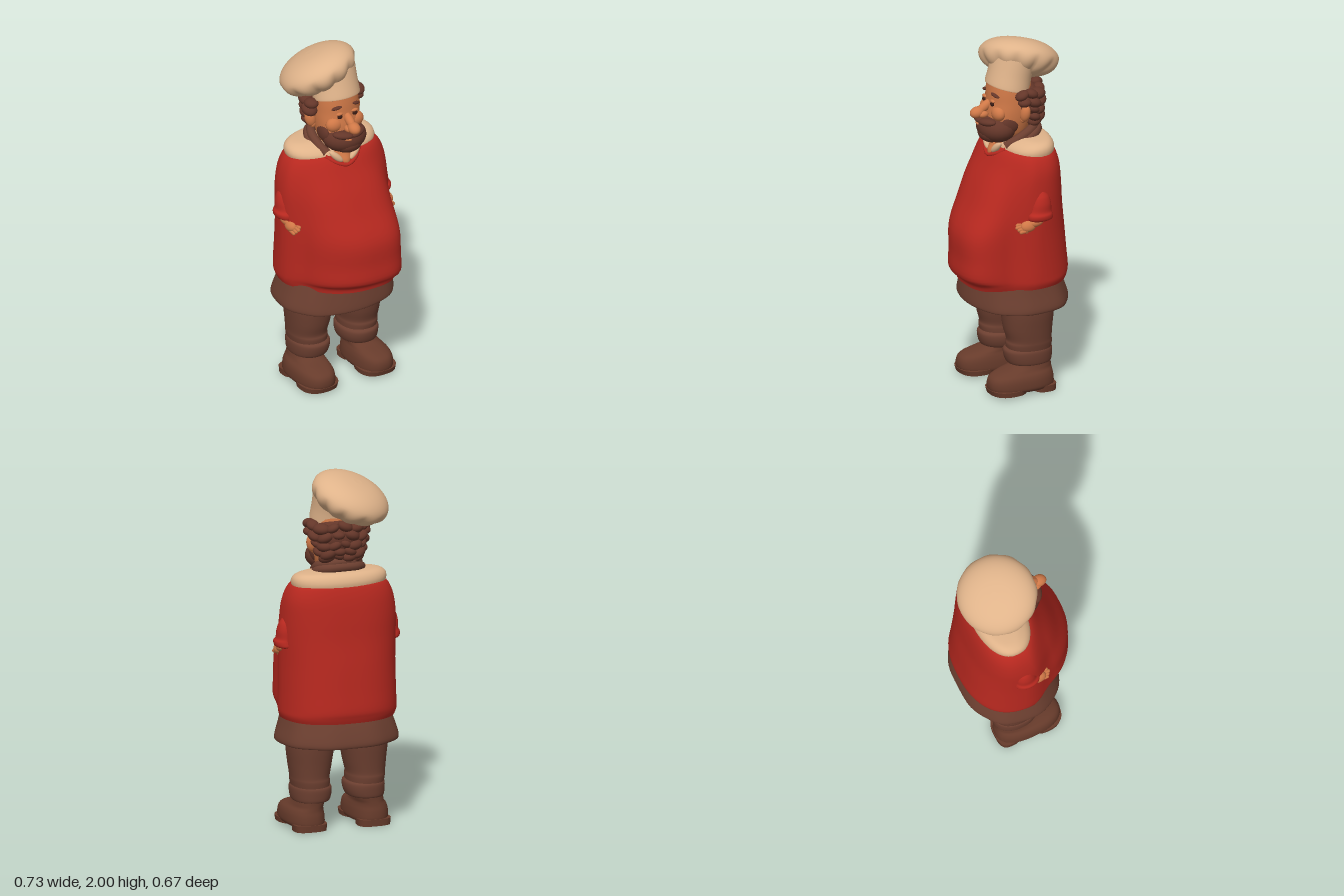
import * as THREE from 'three';

const mat = (name, color) => {
  const m = new THREE.MeshStandardMaterial({ color });
  m.name = name;
  return m;
};

export function createModel() {
  const red = mat('red jumper', 0xb7281f), cream = mat('cream cloth', 0xdfb38a);
  const brown = mat('brown cloth', 0x6c3f30), hairBrown = mat('hair brown', 0x643629);
  const skin = mat('skin', 0xcf7847), dark = mat('eye dark', 0x3a1c14);
  const leather = mat('boot leather', 0x673b2b);
  const root = new THREE.Group();
  root.name = 'cook';

  const add = (name, geo, material) => {
    const m = new THREE.Mesh(geo, material);
    m.name = name;
    root.add(m);
    return m;
  };

  // Smooth loft through rows [y, xMin, xMax, zBack, zFront, skew]; n = squareness
  const loft = (rows, { n = 2, seg = 40, sub = 4, side = 1, warp } = {}) => {
    const pos = [], idx = [], rings = [];
    const row = i => rows[Math.max(0, Math.min(rows.length - 1, i))];
    for (let i = 0; i < rows.length - 1; i++) {
      for (let k = 0; k < sub + (i === rows.length - 2 ? 1 : 0); k++) {
        const t = k / sub;
        rings.push([0, 1, 2, 3, 4, 5].map(c => {
          const [p, a, b, q] = [-1, 0, 1, 2].map(o => row(i + o)[c] || 0);
          const v0 = (b - p) / 2, v1 = (q - a) / 2;
          return (2 * a - 2 * b + v0 + v1) * t ** 3 + (-3 * a + 3 * b - 2 * v0 - v1) * t * t + v0 * t + a;
        }));
      }
    }
    const sup = v => Math.sign(v) * Math.abs(v) ** (2 / n);
    const ringPoints = r => {
      const [y, x0, x1, z0, z1, skew] = r, out = [];
      for (let j = 0; j < seg; j++) {
        const a = j / seg * Math.PI * 2, c = sup(Math.cos(a)), s = sup(Math.sin(a));
        const xa = side > 0 ? x0 : -x1, xb = side > 0 ? x1 : -x0;
        const p = new THREE.Vector3((xa + xb) / 2 + (xb - xa) / 2 * c + skew * Math.max(0, s) ** 2, y,
          (z0 + z1) / 2 + (z1 - z0) / 2 * s);
        if (warp) warp(p, a);
        out.push(p);
      }
      return out;
    };
    const all = rings.map(ringPoints);
    all.forEach(r => r.forEach(p => pos.push(p.x, p.y, p.z)));
    for (let i = 0; i < all.length - 1; i++) for (let j = 0; j < seg; j++) {
      const a = i * seg + j, b = i * seg + (j + 1) % seg, c = a + seg, d = b + seg;
      idx.push(a, c, b, b, c, d);
    }
    // End caps with their own vertices
    [[all[0], false], [all[all.length - 1], true]].forEach(([r, top]) => {
      const base = pos.length / 3, mid = new THREE.Vector3();
      r.forEach(p => { pos.push(p.x, p.y, p.z); mid.addScaledVector(p, 1 / seg); });
      pos.push(mid.x, mid.y, mid.z);
      for (let j = 0; j < seg; j++) {
        const a = base + j, b = base + (j + 1) % seg;
        idx.push(base + seg, ...(top ? [b, a] : [a, b]));
      }
    });
    const g = new THREE.BufferGeometry();
    g.setAttribute('position', new THREE.Float32BufferAttribute(pos, 3));
    g.setIndex(idx);
    g.computeVertexNormals();
    return g;
  };

  const ball = (name, material, [x, y, z], [a, b, c], rot = [0, 0, 0]) => {
    const m = add(name, new THREE.SphereGeometry(1, 24, 16).scale(a, b, c), material);
    m.position.set(x, y, z);
    m.rotation.set(...rot);
  };
  const tube = (name, material, pts, r, seg = 24) => add(name, new THREE.TubeGeometry(
    new THREE.CatmullRomCurve3(pts.map(p => new THREE.Vector3(...p))), seg, r, 10), material);

  // Jumper, leaning out to a heavy belly that is narrower than the back
  add('jumper', loft([
    [0.63, -0.325, 0.32, -0.315, 0.275, 0.075], [0.66, -0.335, 0.33, -0.325, 0.285, 0.085],
    [0.70, -0.338, 0.332, -0.332, 0.33, 0.092], [0.80, -0.337, 0.33, -0.322, 0.327, 0.092],
    [0.94, -0.337, 0.33, -0.308, 0.32, 0.08], [1.08, -0.337, 0.33, -0.29, 0.25, 0.045],
    [1.20, -0.333, 0.325, -0.28, 0.19, 0.02], [1.30, -0.314, 0.314, -0.268, 0.13, 0],
    [1.365, -0.285, 0.29, -0.252, 0.092, 0], [1.395, -0.25, 0.26, -0.235, 0.065, 0],
    [1.40, -0.2, 0.21, -0.2, 0.04, 0]], {
    n: 2.48, seg: 72, warp: p => { p.x *= 1 - 0.16 * THREE.MathUtils.smoothstep(p.z, -0.04, 0.12); }
  }), red);
  tube('neckline', red, [[-0.11, 1.4, 0.045], [-0.06, 1.365, 0.086], [0, 1.345, 0.102], [0.06, 1.365, 0.086], [0.11, 1.4, 0.045]], 0.011);

  // Hollow flared skirt of the tunic
  add('skirt', loft([
    [0.58, -0.27, 0.27, -0.26, 0.18], [0.52, -0.3, 0.3, -0.29, 0.19], [0.495, -0.328, 0.322, -0.318, 0.215],
    [0.492, -0.342, 0.337, -0.33, 0.228], [0.52, -0.343, 0.338, -0.332, 0.228],
    [0.59, -0.322, 0.318, -0.31, 0.215], [0.66, -0.3, 0.3, -0.28, 0.2]], {
    n: 2.3, seg: 72, warp: (p, a) => { const k = 1 + 0.008 * Math.sin(a * 9); p.x *= k; p.z *= k; }
  }), brown);

  // Shirt shoulders, neck, kerchief
  add('shirtShoulders', loft([
    [1.37, -0.262, 0.268, -0.24, 0.055], [1.405, -0.272, 0.275, -0.245, 0.055], [1.435, -0.262, 0.265, -0.235, 0.03],
    [1.455, -0.225, 0.23, -0.215, -0.01], [1.462, -0.16, 0.16, -0.19, -0.03]], { n: 2.25 }), cream);
  add('neck', loft([
    [1.34, -0.04, 0.04, -0.13, 0.098], [1.37, -0.065, 0.065, -0.13, 0.1], [1.42, -0.075, 0.075, -0.13, 0.075],
    [1.52, -0.08, 0.08, -0.13, 0.05]]), skin);
  for (const dx of [0, 1]) {
    tube(dx ? 'kerchiefLower' : 'kerchiefUpper', brown, [-1, 1].flatMap(s => {
      const p = [[0.094, 1.41, 0.04], [0.115, 1.45, -0.025], [0.112, 1.49, -0.1], [0.06, 1.508, -0.155]]
        .map(([x, y, z]) => [s * (x + dx * 0.012), y - dx * 0.025, z - dx * 0.012]);
      return s < 0 ? p : p.reverse();
    }), 0.026, 48);
  }

  for (const s of [1, -1]) {
    const side = s > 0 ? 'left' : 'right';
    ball(side + 'ShirtCollar', cream, [s * 0.06, 1.4, 0.08], [0.05, 0.019, 0.018], [0.3, s * 0.5, s * 0.65]);

    // Trouser leg with rolled cuff
    add(side + 'Trouser', loft([
      [0.2, 0.06, 0.255, -0.19, 0.05], [0.27, 0.056, 0.268, -0.198, 0.064], [0.3, 0.057, 0.27, -0.195, 0.06],
      [0.37, 0.043, 0.278, -0.2, 0.078], [0.48, 0.028, 0.288, -0.21, 0.09], [0.6, 0.03, 0.28, -0.21, 0.09]],
    { n: 2.2, side: s }), brown);
    add(side + 'Cuff', loft([
      [0.16, 0.075, 0.25, -0.18, 0.035], [0.165, 0.058, 0.262, -0.195, 0.058], [0.2, 0.046, 0.268, -0.2, 0.072],
      [0.235, 0.046, 0.268, -0.2, 0.075], [0.25, 0.06, 0.26, -0.19, 0.06]], { n: 2.2, side: s }), brown);

    // Boot with separate heel and sole
    add(side + 'Boot', loft([
      [0.022, 0.085, 0.285, -0.19, 0.175], [0.04, 0.078, 0.296, -0.197, 0.19], [0.08, 0.08, 0.294, -0.195, 0.19],
      [0.108, 0.086, 0.284, -0.19, 0.172], [0.128, 0.092, 0.267, -0.188, 0.125], [0.145, 0.092, 0.258, -0.187, 0.065],
      [0.165, 0.09, 0.252, -0.187, 0.038], [0.2, 0.09, 0.25, -0.185, 0.03]], { n: 2.4, side: s }), leather);
    add(side + 'Sole', loft([[0.01, 0.08, 0.295, -0.02, 0.185], [0.038, 0.076, 0.298, -0.03, 0.193]], { n: 2.5, side: s, sub: 1 }), leather);
    add(side + 'Heel', loft([[0, 0.095, 0.28, -0.198, -0.065], [0.038, 0.092, 0.284, -0.2, -0.06]], { n: 3, side: s, sub: 1 }), leather);

    // Short bulky sleeve against the body, rolled at the wrist
    add(side + 'Sleeve', loft([
      [1.035, 0.285, 0.345, -0.11, -0.01], [1.045, 0.265, 0.362, -0.135, 0.01], [1.07, 0.265, 0.367, -0.132, 0.01],
      [1.09, 0.27, 0.356, -0.128, -0.004], [1.13, 0.27, 0.354, -0.126, -0.015], [1.165, 0.27, 0.346, -0.118, -0.028],
      [1.185, 0.27, 0.336, -0.108, -0.04], [1.205, 0.27, 0.322, -0.09, -0.05]], { side: s, seg: 24 }), red);

    // Hand held forward with the palm turned in
    ball(side + 'Wrist', skin, [s * 0.32, 1.03, -0.035], [0.024, 0.026, 0.045], [0.2, 0, 0]);
    ball(side + 'Palm', skin, [s * 0.312, 1.012, 0.01], [0.027, 0.034, 0.045], [0.1, 0, s * 0.5]);
    for (let i = 0; i < 4; i++) {
      const f = add(side + 'Finger' + (i + 1), new THREE.CapsuleGeometry(0.011, 0.045, 4, 8), skin);
      f.position.set(s * (0.292 + i * 0.01), 1.02 - i * 0.011, 0.052 - Math.abs(i - 1) * 0.008);
      f.rotation.x = Math.PI / 2 + 0.12;
    }
    const thumb = add(side + 'Thumb', new THREE.CapsuleGeometry(0.011, 0.035, 4, 8), skin);
    thumb.position.set(s * 0.31, 0.988, 0.005);
    thumb.rotation.x = 2.2;

    // Paired face parts
    ball(side + 'Cheek', skin, [s * 0.066, 1.602, 0.07], [0.052, 0.044, 0.038]);
    ball(side + 'Nostril', skin, [s * 0.021, 1.592, 0.14], [0.02, 0.019, 0.03]);
    ball(side + 'Eye', dark, [s * 0.048, 1.655, 0.099], [0.016, 0.013, 0.01]);
    ball(side + 'Eyelid', skin, [s * 0.048, 1.671, 0.096], [0.022, 0.009, 0.011]);
    ball(side + 'Brow', hairBrown, [s * 0.062, 1.708, 0.088], [0.03, 0.009, 0.014], [0, s * 0.4, s * -0.3]);
    ball(side + 'Moustache', hairBrown, [s * 0.046, 1.552, 0.128], [0.058, 0.022, 0.032], [0, s * 0.45, s * 0.1]);
    ball(side + 'Sideburn', hairBrown, [s * 0.104, 1.54, 0.015], [0.024, 0.052, 0.055]);
    ball(side + 'Ear', skin, [s * 0.146, 1.605, -0.055], [0.03, 0.05, 0.026], [0, s * 0.5, s * -0.25]);
    ball(side + 'Earlobe', skin, [s * 0.133, 1.57, -0.048], [0.017, 0.022, 0.017]);
  }

  // Head, nose and beard
  add('head', loft([
    [1.43, -0.06, 0.06, -0.09, 0.06], [1.47, -0.095, 0.1, -0.12, 0.09], [1.54, -0.118, 0.122, -0.14, 0.11],
    [1.60, -0.124, 0.128, -0.15, 0.112], [1.66, -0.123, 0.127, -0.155, 0.102], [1.72, -0.12, 0.123, -0.15, 0.098],
    [1.80, -0.11, 0.112, -0.14, 0.088]], { n: 2.2 }), skin);
  ball('noseTip', skin, [0, 1.602, 0.168], [0.034, 0.032, 0.042], [0.2, 0, 0]);
  ball('noseBridge', skin, [0, 1.63, 0.122], [0.024, 0.026, 0.06], [0.6, 0, 0]);
  ball('beard', hairBrown, [0.008, 1.505, 0.053], [0.128, 0.086, 0.108]);
  ball('chinBeard', hairBrown, [0.008, 1.478, 0.088], [0.085, 0.056, 0.07]);
  ball('lip', skin, [-0.028, 1.53, 0.153], [0.022, 0.007, 0.008], [0, -0.2, -0.2]);

  // Wavy locks around the back and sides
  ball('hairBase', hairBrown, [0, 1.645, -0.1], [0.158, 0.11, 0.11]);
  [[1.712, 102, 9, 0.156], [1.665, 96, 8, 0.158], [1.615, 66, 7, 0.15], [1.572, 60, 6, 0.145], [1.545, 42, 4, 0.13]]
    .forEach(([y, span, count, r], k) => {
      for (let i = 0; i < count; i++) {
        const a = THREE.MathUtils.degToRad(-span + 2 * span * i / (count - 1));
        const w = 0.038 + 0.006 * Math.sin(i * 2.3 + k * 1.7);
        ball('hairLock', hairBrown, [Math.sin(a) * r, y + 0.009 * Math.sin(i * 1.9 + k), -0.06 - Math.cos(a) * r * 0.84],
          [w * 1.15, w * 0.75, w], [0, -a, 0.5 * Math.sin(i * 2.1 + k)]);
      }
    });

  // Hat: tilted band with a slumped, gathered crown
  const band = add('hatBand', loft([
    [-0.08, -0.13, 0.132, -0.125, 0.112], [-0.075, -0.134, 0.136, -0.13, 0.117], [0, -0.13, 0.13, -0.125, 0.114],
    [0.09, -0.14, 0.13, -0.13, 0.112]]), cream);
  band.position.set(0, 1.81, -0.03);
  band.rotation.x = -0.25;
  const crownRows = [];
  for (let i = 0; i <= 12; i++) {
    const t = -1.35 + 2.85 * i / 12, r = 0.225 * Math.cos(t) ** 0.85;
    crownRows.push([0.108 * Math.sin(t), -r, r, -r, r]);
  }
  const crown = add('hatCrown', loft(crownRows, {
    seg: 96, sub: 2,
    warp: (p, a) => {
      const low = THREE.MathUtils.clamp(0.25 - p.y / 0.07, 0, 1);
      const k = 1 - 0.11 * low * (1 - Math.abs(Math.sin(a * 5.5 + 0.4 * Math.sin(a))));
      p.x *= k;
      p.z *= k;
    }
  }), cream);
  crown.position.set(-0.058, 1.861, -0.118);
  crown.quaternion.setFromUnitVectors(new THREE.Vector3(0, 1, 0), new THREE.Vector3(-0.34, 1, -0.34).normalize());
  return root;
}
